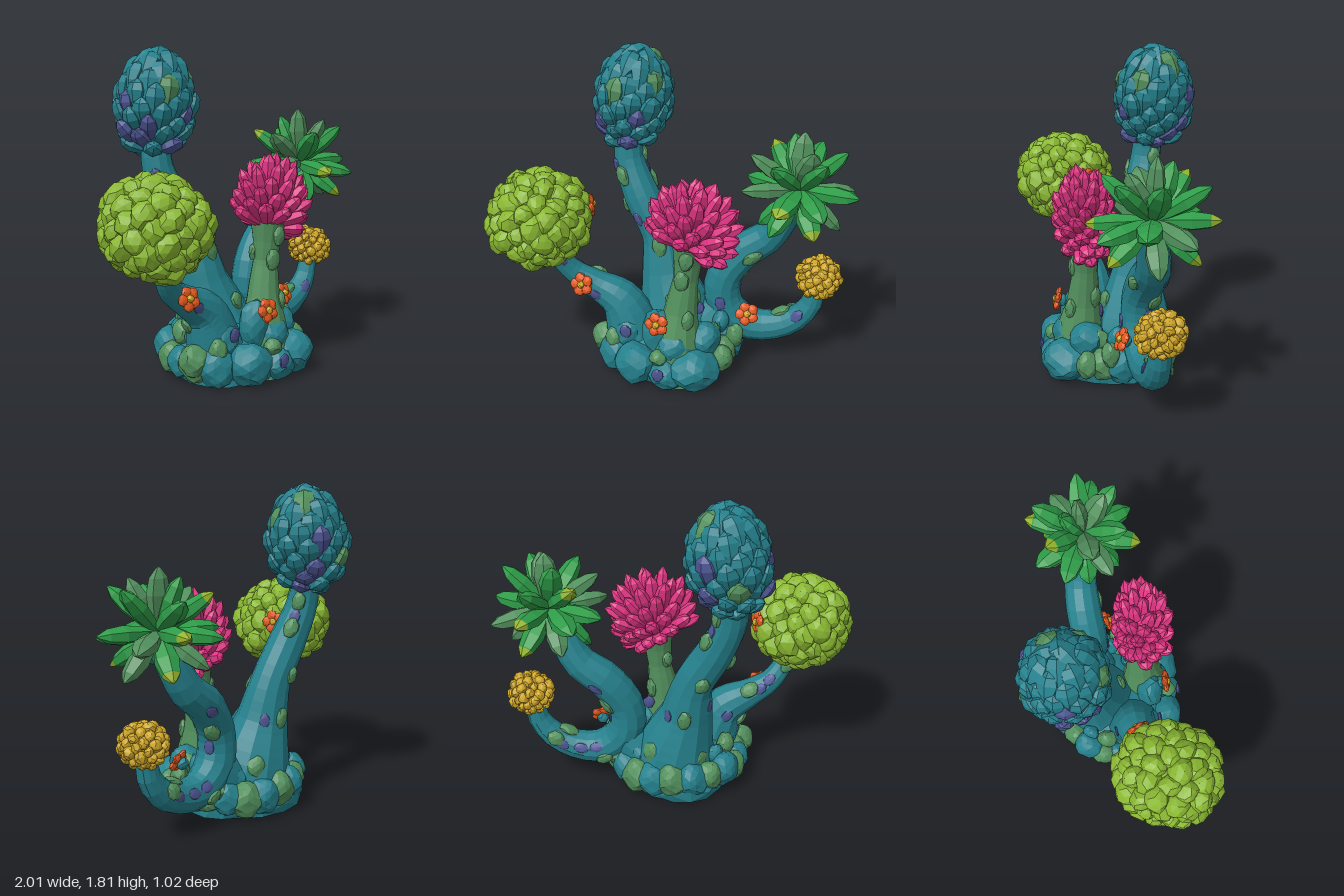
import * as THREE from 'three';
import { mergeGeometries } from 'three/addons/utils/BufferGeometryUtils.js';

const V = (x, y, z) => new THREE.Vector3(x, y, z);
const paint = (name, color) => Object.assign(
  new THREE.MeshStandardMaterial({ color, flatShading: true, side: THREE.DoubleSide }), { name });

export function createModel() {
  const teal = paint('teal', 0x25818d), sage = paint('sage green', 0x52905d), purple = paint('purple', 0x4d5592),
    lime = paint('lime', 0x8ab832), pink = paint('pink', 0xe03684), gold = paint('gold', 0xcfa626),
    green = paint('leaf green', 0x2e9c48), orange = paint('orange', 0xe65a20), tipColor = paint('yellow green', 0x94b42c);

  let seed = 7;
  const rnd = (a = 0, b = 1) => {
    seed = (seed * 16807) % 2147483647;
    return a + (b - a) * seed / 2147483647;
  };

  const model = new THREE.Group();
  model.name = 'coralGarden';

  // Joins geometries into one named mesh, kept above the ground
  function add(name, material, geos) {
    if (!geos.length) return;
    const flat = geos.map(g => {
      const h = g.index ? g.toNonIndexed() : g;
      h.deleteAttribute('uv');
      return h;
    });
    const geo = mergeGeometries(flat), p = geo.attributes.position;
    for (let i = 0; i < p.count; i++) if (p.getY(i) < 0) p.setY(i, 0);
    geo.computeVertexNormals();
    const mesh = new THREE.Mesh(geo, material);
    mesh.name = name;
    model.add(mesh);
  }

  // Puts a geometry at pos with its y axis along dir and z axis towards face
  function place(geo, pos, dir, face, size) {
    const y = dir.clone().normalize();
    let x = y.clone().cross(face);
    if (x.lengthSq() < 1e-4) x = y.clone().cross(V(0.3, 0.2, 1));
    x.normalize();
    const z = x.clone().cross(y);
    return geo.applyMatrix4(new THREE.Matrix4().makeBasis(x, y, z).scale(size).setPosition(pos));
  }

  // Irregular rounded lump
  function lump(pos, size, dir = V(0, 1, 0), face = V(0, 0, 1), detail = 1) {
    const g = new THREE.IcosahedronGeometry(1, detail), p = g.attributes.position, s = rnd(0, 6), v = V(0, 0, 0);
    for (let i = 0; i < p.count; i++) {
      v.fromBufferAttribute(p, i);
      v.multiplyScalar(1 + 0.1 * Math.sin(v.x * 4 + s) * Math.cos(v.y * 4 + v.z * 3 + s));
      p.setXYZ(i, v.x, v.y, v.z);
    }
    return place(g, pos, dir, face, size);
  }

  // Blunt leaf from pos, widest at the given height
  function leaf(pos, dir, face, width, length, thick, widest = 0.5) {
    const pts = [[0.25, 0], [0.72, widest * 0.45], [1, widest], [0.76, widest + (1 - widest) * 0.6], [0.26, 0.96], [0, 1]];
    return place(new THREE.LatheGeometry(pts.map(a => new THREE.Vector2(...a)), 6),
      pos, dir, face, V(width, length, thick));
  }

  // Evenly spread unit directions
  const spread = n => Array.from({ length: n }, (_, i) => {
    const y = 1 - 2 * (i + 0.5) / n, r = Math.sqrt(1 - y * y), a = i * 2.39996;
    return V(Math.cos(a) * r, y, Math.sin(a) * r);
  });

  // Tapered stem through [x, y, z, radius] points, with raised scales and flat spots
  function stem(name, material, pts, bumps, spots) {
    const curve = new THREE.CatmullRomCurve3(pts.map(p => V(p[0], p[1], p[2])));
    const radius = t => {
      const f = t * (pts.length - 1), i = Math.min(Math.floor(f), pts.length - 2);
      return THREE.MathUtils.lerp(pts[i][3], pts[i + 1][3], f - i);
    };
    const n = 24, sides = 12, geo = new THREE.TubeGeometry(curve, n, 1, sides), p = geo.attributes.position, v = V(0, 0, 0);
    for (let i = 0; i < p.count; i++) {
      const u = Math.floor(i / (sides + 1)) / n, c = curve.getPointAt(u);
      v.fromBufferAttribute(p, i).sub(c).multiplyScalar(radius(curve.getUtoTmapping(u))).add(c);
      p.setXYZ(i, v.x, v.y, v.z);
    }
    add(name, material, [geo]);
    const on = (t, size) => {
      const a = rnd(0, 6.28), tan = curve.getTangent(t);
      const side = V(Math.cos(a), 0.2, Math.sin(a)).projectOnPlane(tan).normalize();
      return lump(curve.getPoint(t).addScaledVector(side, radius(t) * 0.97), size, tan, side);
    };
    add(name + 'Scales', sage, Array.from({ length: bumps }, (_, i) =>
      on(0.25 + 0.65 * (i + rnd()) / bumps, V(rnd(0.035, 0.046), rnd(0.05, 0.068), 0.026))));
    add(name + 'Spots', purple, Array.from({ length: spots }, (_, i) =>
      on(0.28 + 0.62 * (i + rnd()) / spots, V(0.03, 0.045, 0.01))));
  }

  // Stems
  stem('trunk', teal, [[0, -0.02, -0.07, 0.27], [0, 0.22, -0.11, 0.235], [-0.06, 0.48, -0.14, 0.15], [-0.1, 0.7, -0.17, 0.112],
    [-0.22, 0.93, -0.2, 0.105], [-0.3, 1.14, -0.24, 0.088], [-0.3, 1.32, -0.26, 0.08]], 8, 6);
  stem('leftStem', teal, [[-0.16, 0, 0.1, 0.2], [-0.21, 0.22, 0.1, 0.155], [-0.28, 0.39, 0.1, 0.12], [-0.42, 0.48, 0.11, 0.083],
    [-0.54, 0.56, 0.13, 0.065], [-0.62, 0.68, 0.17, 0.055], [-0.66, 0.82, 0.2, 0.05]], 3, 5);
  stem('frontStem', sage, [[0.07, 0, 0.2, 0.18], [0.08, 0.2, 0.21, 0.145], [0.095, 0.42, 0.19, 0.095], [0.12, 0.62, 0.18, 0.07],
    [0.13, 0.74, 0.18, 0.08], [0.14, 0.84, 0.18, 0.1]], 5, 0);
  stem('rightStem', teal, [[0.69, 1.08, -0.07, 0.075], [0.62, 0.92, -0.1, 0.085], [0.54, 0.78, -0.12, 0.095], [0.4, 0.67, -0.12, 0.105],
    [0.29, 0.5, -0.1, 0.105], [0.3, 0.32, -0.1, 0.11], [0.42, 0.21, -0.1, 0.1], [0.56, 0.2, -0.1, 0.09],
    [0.71, 0.26, -0.1, 0.078], [0.8, 0.37, -0.1, 0.064], [0.83, 0.52, -0.1, 0.05]], 6, 8);
  stem('rightRoot', teal, [[0.08, 0.06, -0.06, 0.16], [0.2, 0.19, -0.09, 0.14], [0.31, 0.32, -0.1, 0.1]], 0, 0);

  // Rocky base with a flat underside
  add('baseMound', teal, [lump(V(0, 0.06, 0), V(0.36, 0.22, 0.36), V(0, 1, 0), V(0, 0, 1), 3)]);
  const rock = (x, y, z, a, b, c) => lump(V(x, y, z), V(a, b, c), V(0, 1, 0), V(x, 0.3, z), 2);
  const tealRocks = [
    rock(-0.14, 0.11, 0.31, 0.12, 0.12, 0.11), rock(0.2, 0.11, 0.31, 0.14, 0.12, 0.12),
    rock(0.05, 0.08, 0.34, 0.1, 0.09, 0.09), rock(-0.02, 0.27, 0.23, 0.1, 0.16, 0.08), rock(0.08, 0.22, 0.28, 0.1, 0.1, 0.08),
    rock(0.22, 0.24, 0.18, 0.1, 0.1, 0.1), rock(-0.21, 0.24, 0.19, 0.08, 0.1, 0.08), rock(-0.28, 0.1, 0.2, 0.1, 0.12, 0.1)];
  const sageRocks = [
    rock(-0.37, 0.14, 0.12, 0.08, 0.09, 0.08), rock(-0.29, 0.2, 0.22, 0.05, 0.07, 0.05), rock(0.0, 0.19, 0.35, 0.05, 0.045, 0.05),
    rock(0.39, 0.22, 0.08, 0.05, 0.075, 0.05), rock(0.34, 0.14, 0.2, 0.06, 0.08, 0.06)];
  for (let i = 0; i < 13; i++) {
    const a = 0.35 - (i / 12) * 3.8, s = rnd(0.08, 0.1);
    (i % 2 ? tealRocks : sageRocks).push(
      rock(Math.cos(a) * 0.35, rnd(0.1, 0.15), Math.sin(a) * 0.31, s, s * 1.1, s * 0.9));
  }
  for (let i = 0; i < 11; i++) {
    const a = 0.5 - i * 0.42, s = rnd(0.05, 0.07);
    (i % 2 ? tealRocks : sageRocks).push(
      rock(Math.cos(a) * 0.3, rnd(0.21, 0.27), Math.sin(a) * 0.26, s, s * 1.15, s * 0.8));
  }
  add('tealRocks', teal, tealRocks);
  add('sageRocks', sage, sageRocks);
  add('baseSpots', purple, [[-0.21, 0.28, 0.265], [0.01, 0.12, 0.425], [0.18, 0.39, 0.1]]
    .map(p => lump(V(...p), V(0.035, 0.042, 0.012))));

  // Tall bulb of overlapping scales
  const bulbAt = V(-0.278, 1.49, -0.278), lean = V(0.16, 1, -0.04).normalize();
  const tilt = new THREE.Quaternion().setFromUnitVectors(V(0, 1, 0), lean);
  add('bulbCore', teal, [lump(bulbAt, V(0.18, 0.26, 0.19), lean, V(0, 0, 1), 2)]);
  const scales = new Map([[teal, []], [purple, []], [sage, []]]);
  spread(72).forEach((d, i) => {
    const at = d.clone().multiply(V(0.185, 0.26, 0.192)).multiplyScalar(rnd(0.95, 1.05)).applyQuaternion(tilt).add(bulbAt);
    const out = d.clone().applyQuaternion(tilt);
    const up = lean.clone().projectOnPlane(out).normalize().addScaledVector(out, 0.2);
    const mat = d.y < 0.3 && (i % 7 === 3 || (d.y < -0.4 && i % 4 === 0)) ? purple : i % 11 === 5 ? sage : teal;
    scales.get(mat).push(leaf(at.addScaledVector(up, -0.088), up, out, rnd(0.056, 0.068), rnd(0.16, 0.19), 0.046, 0.6));
  });
  scales.forEach((geos, mat) => add('bulbScales', mat, geos));

  // Round heads covered in knobs
  function knobHead(name, mat, at, core, count, size) {
    add(name + 'Core', mat, [lump(at, core.clone().multiplyScalar(0.95), V(0, 1, 0), V(0, 0, 1), 2)]);
    add(name + 'Knobs', mat, spread(count).map(d => {
      const s = size * rnd(0.85, 1.2), along = V(rnd(-1, 1), 1, rnd(-1, 1)).projectOnPlane(d);
      const pos = d.clone().multiply(core).multiplyScalar(rnd(0.95, 1.05)).add(at);
      return lump(pos, V(s * 0.9, s * 1.1, s), along, d.clone().addScaledVector(along, 0.2));
    }));
  }
  knobHead('limeHead', lime, V(-0.7, 0.925, 0.2), V(0.233, 0.212, 0.242), 80, 0.066);
  knobHead('goldHead', gold, V(0.835, 0.555, -0.1), V(0.108, 0.1, 0.112), 62, 0.028);

  // Pink fan of petals, drooping towards its left
  const fanAt = V(0.13, 0.81, 0.18), fanAxis = V(0.45, 1, -0.2).normalize(), petals = [];
  petals.push(lump(V(0.15, 0.95, 0.185), V(0.15, 0.17, 0.1), V(0, 1, 0), V(0, 0, 1), 2));
  spread(80).forEach(d => {
    if (d.dot(fanAxis) < -0.42) return;
    const end = d.clone().multiply(V(0.275, 0.3, 0.18)).multiplyScalar(rnd(0.94, 1.06)).add(V(0.155, 0.935, 0.19));
    const dir = end.sub(fanAt), len = dir.length();
    petals.push(leaf(fanAt.clone().addScaledVector(dir, 0.05), dir, d, rnd(0.042, 0.05), len * 0.95, 0.038, 0.72));
  });
  add('pinkPetals', pink, petals);

  // Rosette of broad leaves, some with pale tips
  const roseAt = V(0.7, 1.1, -0.08), leaves = { green: [], sage: [] }, tips = [];
  [[6, -40, 0.32], [8, -2, 0.335], [6, 38, 0.34], [2, 66, 0.31], [1, 90, 0.33]].forEach(([n, elev, len], row) => {
    for (let i = 0; i < n; i++) {
      const a = (i + row * 0.45) / n * Math.PI * 2 + rnd(-0.12, 0.12), e = elev * Math.PI / 180 + rnd(-0.12, 0.12);
      const d = V(Math.cos(a) * Math.cos(e), Math.sin(e), Math.sin(a) * Math.cos(e));
      const face = row === 4 ? V(0, 0, 1) : V(0, 1, 0), w = rnd(0.062, 0.074);
      (row === 4 || (i + row) % 4 === 0 ? leaves.sage : leaves.green).push(leaf(roseAt, d, face, w, len, 0.048, 0.58));
      if (row < 3 && i % 4 === row + 1) {
        const cap = new THREE.LatheGeometry([[0.72, 0.85], [0.28, 0.965], [0, 1.01]].map(q => new THREE.Vector2(...q)), 6);
        tips.push(place(cap, roseAt, d, face, V(w * 1.03, len, 0.05)));
      }
    }
  });
  add('rosetteLeaves', green, leaves.green);
  add('rosetteSageLeaves', sage, leaves.sage);
  add('rosetteTips', tipColor, tips);

  // Small orange flowers
  [[V(-0.48, 0.52, 0.2), V(-0.1, 0.3, 1)], [V(-0.015, 0.39, 0.325), V(-0.1, 0.25, 1)],
    [V(0.45, 0.34, 0.03), V(0.2, 0.5, 1)], [V(-0.445, 0.97, 0.07), V(1, 0.1, -0.4)]].forEach(([at, out]) => {
    out.normalize();
    const up = V(0, 1, 0).projectOnPlane(out).normalize();
    add('flowerPetals', orange, Array.from({ length: 5 }, (_, i) => {
      const d = up.clone().applyAxisAngle(out, 0.3 + i * Math.PI * 0.4);
      return lump(at.clone().addScaledVector(d, 0.038), V(0.032, 0.031, 0.018), d, out);
    }));
    add('flowerCentre', gold, [lump(at.clone().addScaledVector(out, 0.014), V(0.021, 0.021, 0.016), up, out)]);
    add('flowerBack', teal, [lump(at.clone().addScaledVector(out, -0.03), V(0.035, 0.035, 0.03), up, out)]);
  });

  return model;
}
